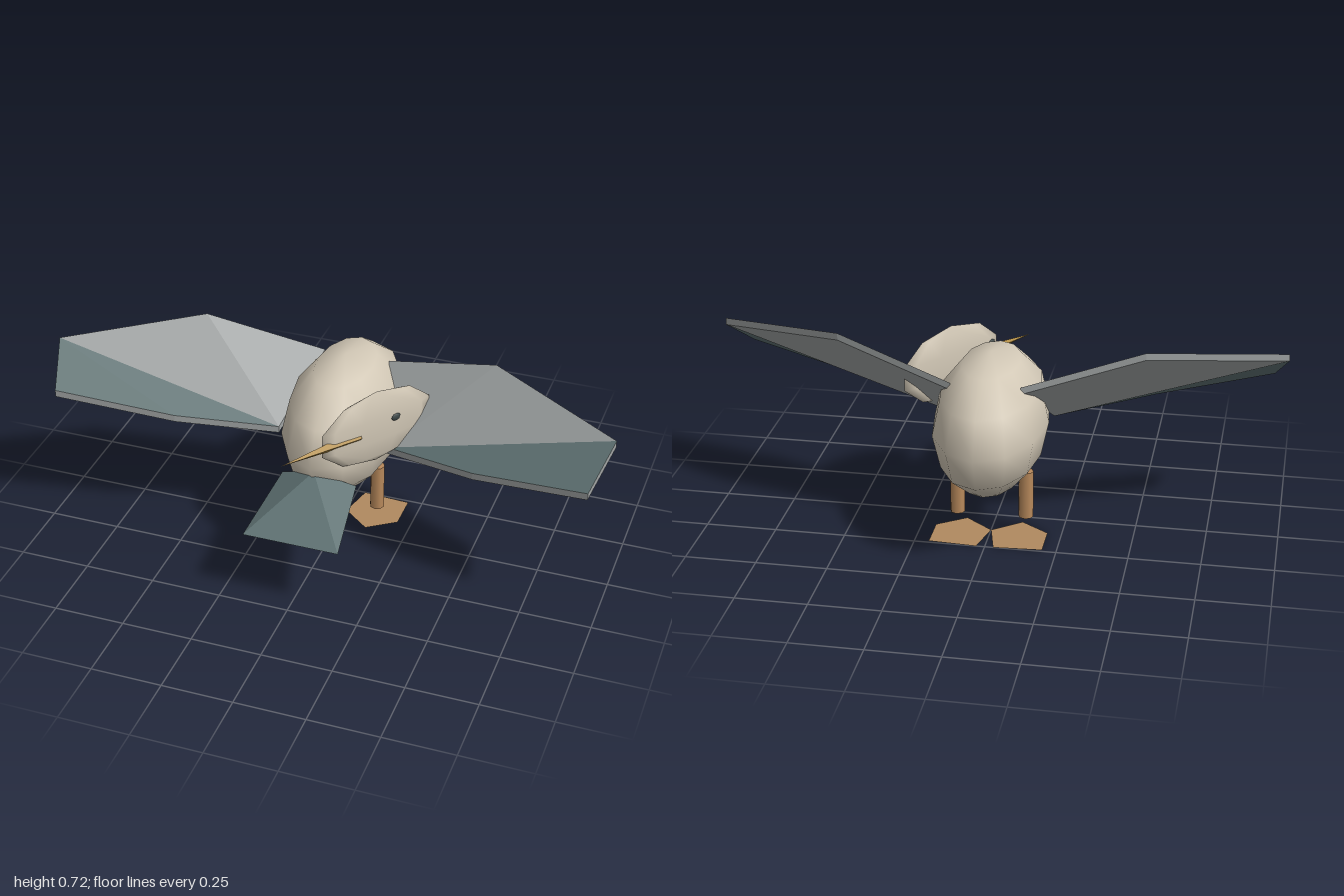
import * as THREE from 'three';

const mat = (name, color, extra = {}) => {
  const m = new THREE.MeshStandardMaterial({ color, ...extra });
  m.name = name;
  return m;
};

// Flat-faced geometry from corner points and lists of triangles, one group per list
function facets(points, lists) {
  const pos = [];
  const g = new THREE.BufferGeometry();
  lists.forEach((tris, k) => {
    const start = pos.length / 3;
    tris.forEach(t => t.forEach(i => pos.push(...points[i])));
    g.addGroup(start, pos.length / 3 - start, k);
  });
  g.setAttribute('position', new THREE.Float32BufferAttribute(pos, 3));
  g.computeVertexNormals();
  return g;
}

function wingGeometry(side) {
  // Outline: root rear, mid rear, tip rear, tip front, mid front, root front
  const top = [
    [0.12, 0.60, -0.23], [0.53, 0.717, -0.14], [1, 0.655, 0.09],
    [0.95, 0.54, 0.25], [0.54, 0.468, 0.16], [0.2, 0.415, 0.03],
  ];
  const n = top.length;
  const all = [...top, ...top.map(([x, y, z]) => [x, y - 0.025, z])]
    .map(([x, y, z]) => [x * side, y, z]);
  const inner = [[0, 1, 5], [1, 2, 5]];
  const outer = [[2, 4, 5], [2, 3, 4]];
  const both = list => list.flatMap(([a, b, c]) => [[c, b, a], [a + n, b + n, c + n]]);
  const coverts = both(inner);
  const flight = both(outer);
  // Rim
  for (let i = 0; i < n; i++) {
    const j = (i + 1) % n;
    coverts.push([i, j, j + n], [i, j + n, i + n]);
  }
  const wind = list => (side > 0 ? list : list.map(([a, b, c]) => [a, c, b]));
  return facets(all, [wind(coverts), wind(flight)]);
}

export function createModel() {
  const model = new THREE.Group();
  model.name = 'bird';

  const cream = mat('cream plumage', 0xd2c8b6);
  const grey = mat('grey feathers', 0xa0a4a4);
  const slate = mat('slate feathers', 0x5f7273);
  const ochre = mat('ochre beak', 0xb08a3c, { flatShading: true });
  const tan = mat('tan legs', 0xb98a5c);
  const footTan = mat('tan feet', 0xb08a60, { side: THREE.DoubleSide });
  const dark = mat('dark eye', 0x3c4646);

  const add = (parent, name, geometry, material, x = 0, y = 0, z = 0) => {
    const m = new THREE.Mesh(geometry, material);
    m.name = name;
    m.position.set(x, y, z);
    parent.add(m);
    return m;
  };

  // Body
  add(model, 'body', new THREE.SphereGeometry(1, 12, 6), cream, 0, 0.425, -0.105)
    .scale.set(0.2, 0.25, 0.365);

  // Head: a thin disc set to one side, its local +x pointing along the beak
  const head = new THREE.Group();
  head.name = 'head';
  head.position.set(0.18, 0.54, 0.095);
  head.rotation.y = -2.184;
  model.add(head);
  add(head, 'skull', new THREE.SphereGeometry(1, 10, 5), cream).scale.set(0.237, 0.138, 0.026);

  const beak = new THREE.ConeGeometry(0.028, 0.32, 4);
  beak.rotateZ(-Math.PI / 2);
  add(head, 'beak', beak, ochre, 0.24, -0.006, -0.006).scale.z = 0.8;

  [[-0.065, -0.022], [0.185, 0.012]].forEach(([x, z], i) => {
    add(head, i ? 'innerEye' : 'outerEye', new THREE.SphereGeometry(1, 8, 6), dark, x, 0.025, z)
      .scale.set(0.02, 0.014, 0.008);
  });

  // Wings, legs and feet in mirrored pairs
  for (const side of [1, -1]) {
    const label = side > 0 ? 'left' : 'right';
    add(model, label + 'Wing', wingGeometry(side), [grey, slate]);
    add(model, label + 'Leg', new THREE.CylinderGeometry(0.026, 0.026, 0.175, 8), tan,
      side * 0.122, 0.1475, -0.107);

    const outline = [[0.03, -0.25], [0.2, -0.24], [0.2, -0.11], [0.1, -0.04], [0, -0.12]];
    const web = new THREE.ShapeGeometry(
      new THREE.Shape(outline.map(([x, z]) => new THREE.Vector2(x * side, -z))));
    web.rotateX(-Math.PI / 2);
    add(model, label + 'Foot', web, footTan);
  }

  // Tail wedge: base triangle widening to a thin straight edge
  const tail = facets([
    [-0.135, 0.33, 0.17], [0, 0.395, 0.225], [0.135, 0.33, 0.17],
    [-0.17, 0.255, 0.465], [0.17, 0.255, 0.465],
  ], [[[1, 3, 4], [0, 3, 1], [1, 4, 2], [0, 2, 4], [0, 4, 3], [0, 1, 2]]]);
  add(model, 'tail', tail, [slate]);

  return model;
}
